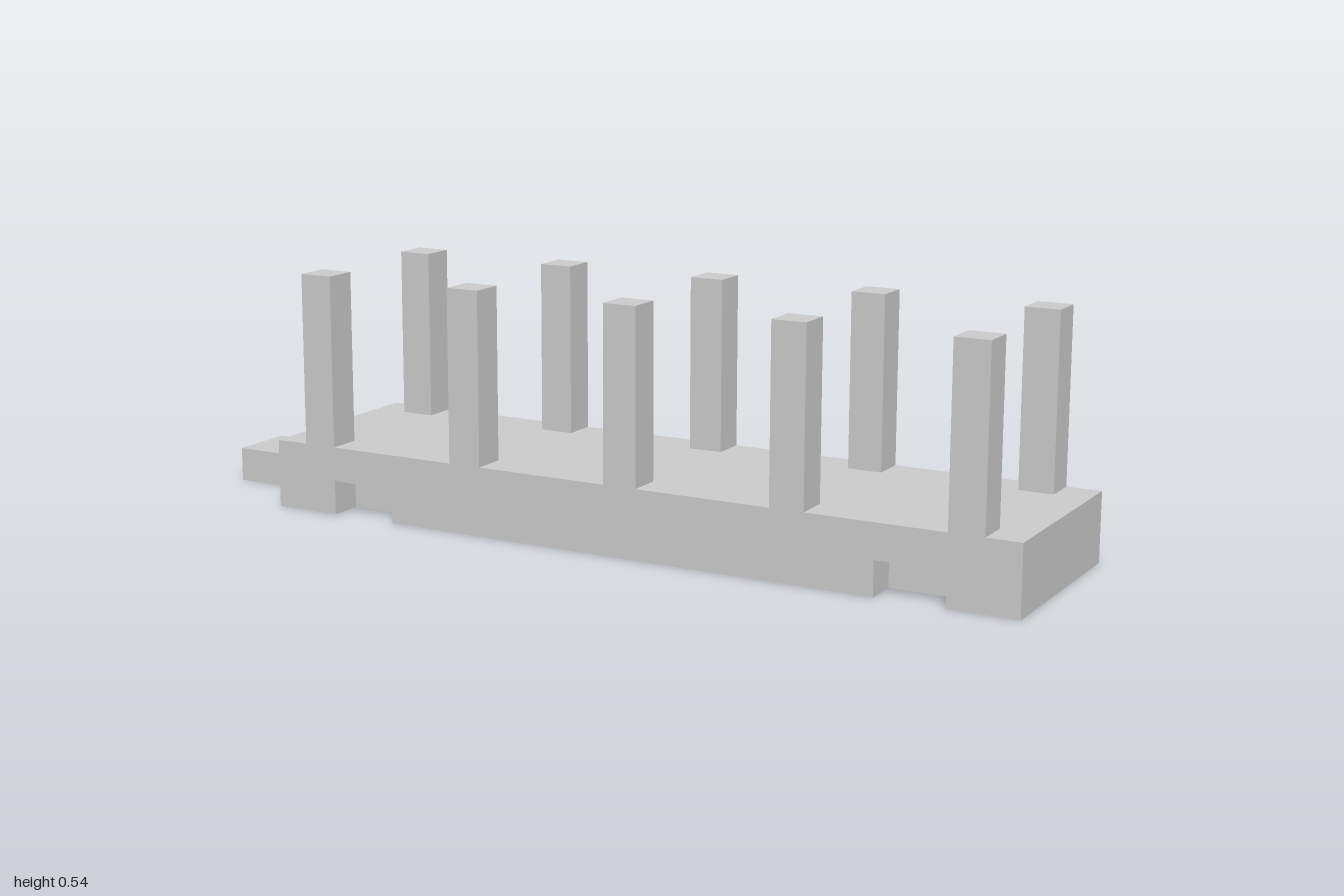
import * as THREE from 'three';

const U = 1 / 13; // module size: every dimension is a whole number of these

export function createModel() {
  const model = new THREE.Group();
  const material = new THREE.MeshStandardMaterial({ color: 0xcccccc, flatShading: true });

  const add = (name, geometry) => {
    const mesh = new THREE.Mesh(geometry, material);
    mesh.name = name;
    model.add(mesh);
  };

  // Box from its lower and upper corners, in modules
  const box = (name, [x0, y0, z0], [x1, y1, z1]) => {
    const g = new THREE.BoxGeometry(x1 - x0, y1 - y0, z1 - z0);
    g.translate((x0 + x1) / 2, (y0 + y1) / 2, (z0 + z1) / 2);
    add(name, g.scale(U, U, U));
  };

  // Lower half of the base: plan outline with two notches in each long side
  const side = [[-10, 3], [-8, 3], [-8, 2], [-6, 2], [-6, 3], [9, 3], [9, 2], [11, 2], [11, 3], [13, 3]];
  const mirrored = side.map(([x, z]) => [x, -z]).reverse();
  const outline = new THREE.Shape([...side, ...mirrored].map(([x, z]) => new THREE.Vector2(x, z)));
  const lower = new THREE.ExtrudeGeometry(outline, { depth: 1, bevelEnabled: false });
  lower.rotateX(-Math.PI / 2);
  add('notchedBase', lower.scale(U, U, U));

  // Upper half of the base
  box('deck', [-10, 1, -3], [13, 2, 3]);

  // Coupling tongue at the end
  box('tongue', [-13, 0, -1], [-10, 1, 1]);

  // Five pairs of upright posts
  for (let i = 0; i < 5; i++) {
    const x = -9 + 5 * i;
    box('frontPost', [x, 2, 2], [x + 1, 7, 3]);
    box('backPost', [x, 2, -3], [x + 1, 7, -2]);
  }

  return model;
}
